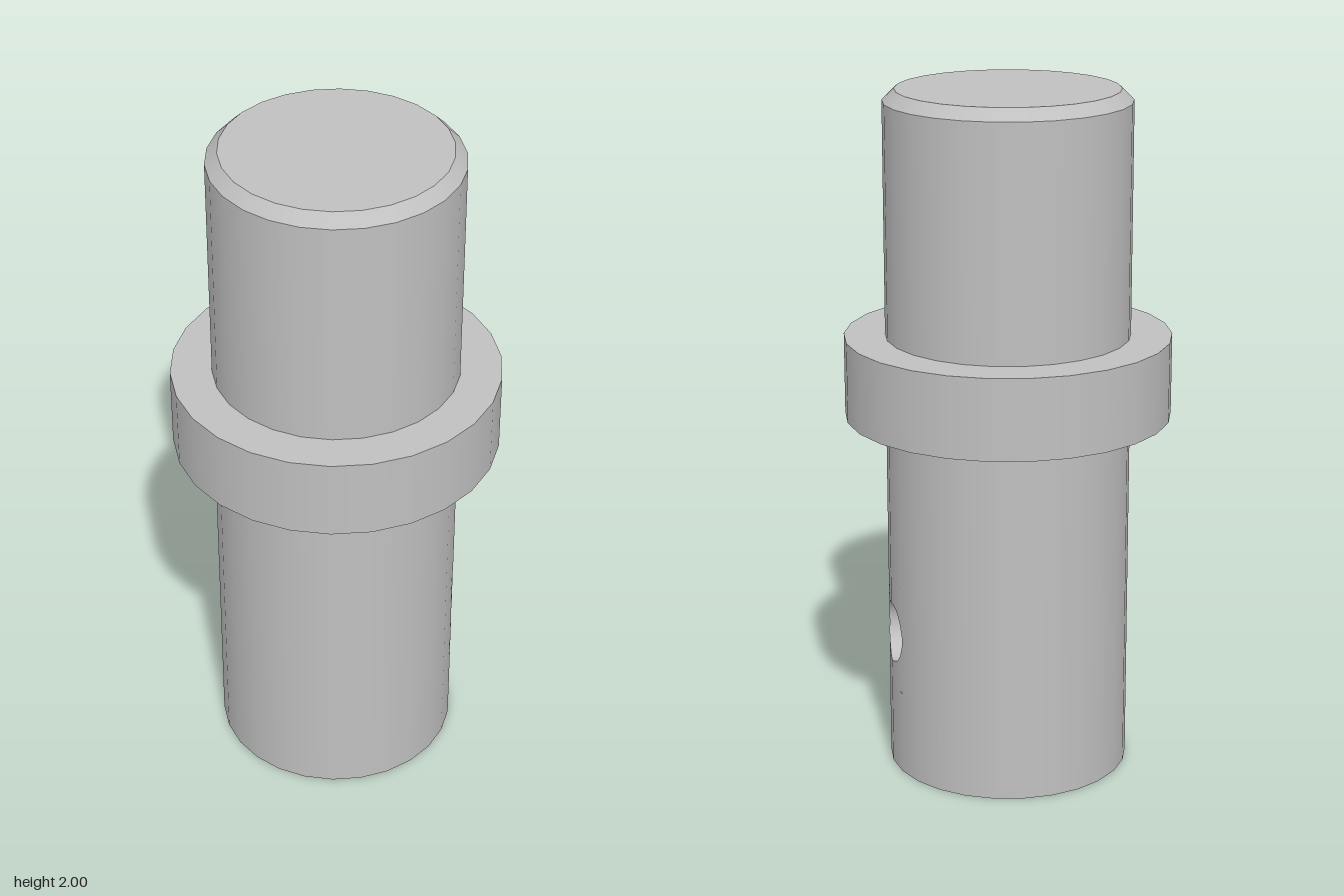
import * as THREE from 'three';
import { mergeGeometries } from 'three/addons/utils/BufferGeometryUtils.js';

const SIDES = 26, STEP = (2 * Math.PI) / SIDES;
const R = 0.352, COLLAR = 0.47, BORE = 0.187, BORE_TOP = 0.85;
const COLLAR_LOW = 1.06, COLLAR_HIGH = 1.295;
const HOLE = 0.09, HOLE_Y = 0.413, LOOP = 48;

// One crisp-edged band of revolution; `skip` leaves out that many sides each way from +x
function band(r0, y0, r1, y1, skip = 0) {
  const g = new THREE.LatheGeometry(
    [new THREE.Vector2(r0, y0), new THREE.Vector2(r1, y1)],
    SIDES - 2 * skip, Math.PI / 2 + skip * STEP, 2 * Math.PI - 2 * skip * STEP);
  g.deleteAttribute('uv');
  return g;
}

// Consecutive bands through a list of [radius, height]
function turned(profile) {
  return profile.slice(1).map((p, i) => band(...profile[i], ...p));
}

// x on the faceted cylinder wall at a given z
function wallX(r, z) {
  let i = 0;
  while (r * Math.sin((i + 1) * STEP) < Math.abs(z) - 1e-9) i++;
  const s0 = r * Math.sin(i * STEP), s1 = r * Math.sin((i + 1) * STEP);
  const k = (Math.abs(z) - s0) / (s1 - s0);
  return r * THREE.MathUtils.lerp(Math.cos(i * STEP), Math.cos((i + 1) * STEP), k);
}

// Point around the hole: k = 0 on its rim, k = 1 on the surrounding square
function loopPoint(r, half, i, k) {
  const t = (i / LOOP) * 2 * Math.PI, c = Math.cos(t), s = Math.sin(t);
  const d = THREE.MathUtils.lerp(HOLE, half / Math.max(Math.abs(c), Math.abs(s)), k);
  const z = THREE.MathUtils.clamp(-c * d, -half, half);
  return new THREE.Vector3(wallX(r, z), HOLE_Y + s * d, z);
}

// Joins equal closed rings of points into a surface
function loft(rings, flip) {
  const pos = [], index = [];
  rings.forEach(ring => ring.forEach(p => pos.push(p.x, p.y, p.z)));
  for (let j = 0; j < rings.length - 1; j++) {
    for (let i = 0; i < LOOP; i++) {
      const n = (i + 1) % LOOP;
      const a = j * LOOP + i, b = a + LOOP, c = (j + 1) * LOOP + n, d = j * LOOP + n;
      index.push(...(flip ? [a, c, b, a, d, c] : [a, b, c, a, c, d]));
    }
  }
  const g = new THREE.BufferGeometry();
  g.setAttribute('position', new THREE.Float32BufferAttribute(pos, 3));
  g.setIndex(index);
  g.computeVertexNormals();
  return g;
}

const ringOf = (r, half, k) =>
  Array.from({ length: LOOP }, (_, i) => loopPoint(r, half, i, k));

// Cylinder wall from y0 to y1, pierced by the cross hole
function piercedWall(r, y0, y1, skip, inward) {
  const half = r * Math.sin(skip * STEP);
  const rings = [0, 0.2, 0.4, 0.6, 0.8, 1].map(k => ringOf(r, half, k));
  const patch = loft(rings, inward);
  const p = patch.attributes.position, n = patch.attributes.normal;
  const sign = inward ? -1 : 1;
  for (let i = 0; i < p.count; i++) {
    const len = Math.hypot(p.getX(i), p.getZ(i)) * sign;
    n.setXYZ(i, p.getX(i) / len, 0, p.getZ(i) / len);
  }
  const low = HOLE_Y - half, high = HOLE_Y + half;
  const strip = (a, b, s) => (inward ? band(r, b, r, a, s) : band(r, a, r, b, s));
  return [patch, strip(y0, low, 0), strip(low, high, skip), strip(high, y1, 0)];
}

export function createModel() {
  const group = new THREE.Group();
  const steel = new THREE.MeshStandardMaterial({ color: 0xc0c0c0 });
  steel.name = 'steel grey';
  const add = (name, parts) => {
    const mesh = new THREE.Mesh(mergeGeometries(parts), steel);
    mesh.name = name;
    group.add(mesh);
  };

  // Lower shaft with its ring-shaped foot
  add('lowerShaft', [...piercedWall(R, 0, COLLAR_LOW, 2, false), band(BORE, 0, R, 0)]);

  // Blind bore rising from the foot
  add('bore', [...piercedWall(BORE, 0, BORE_TOP, 3, true), band(0, BORE_TOP, BORE, BORE_TOP)]);

  // Cross hole running from the outer wall into the bore
  add('crossHole', [loft([ringOf(R, 0.2, 0), ringOf(BORE, 0.2, 0)], true)]);

  // Collar
  add('collar', turned([
    [R, COLLAR_LOW], [COLLAR, COLLAR_LOW], [COLLAR, COLLAR_HIGH], [R, COLLAR_HIGH]]));

  // Upper shaft with chamfered end
  add('upperShaft', turned([[R, COLLAR_HIGH], [R, 1.967], [0.318, 2], [0, 2]]));

  return group;
}
